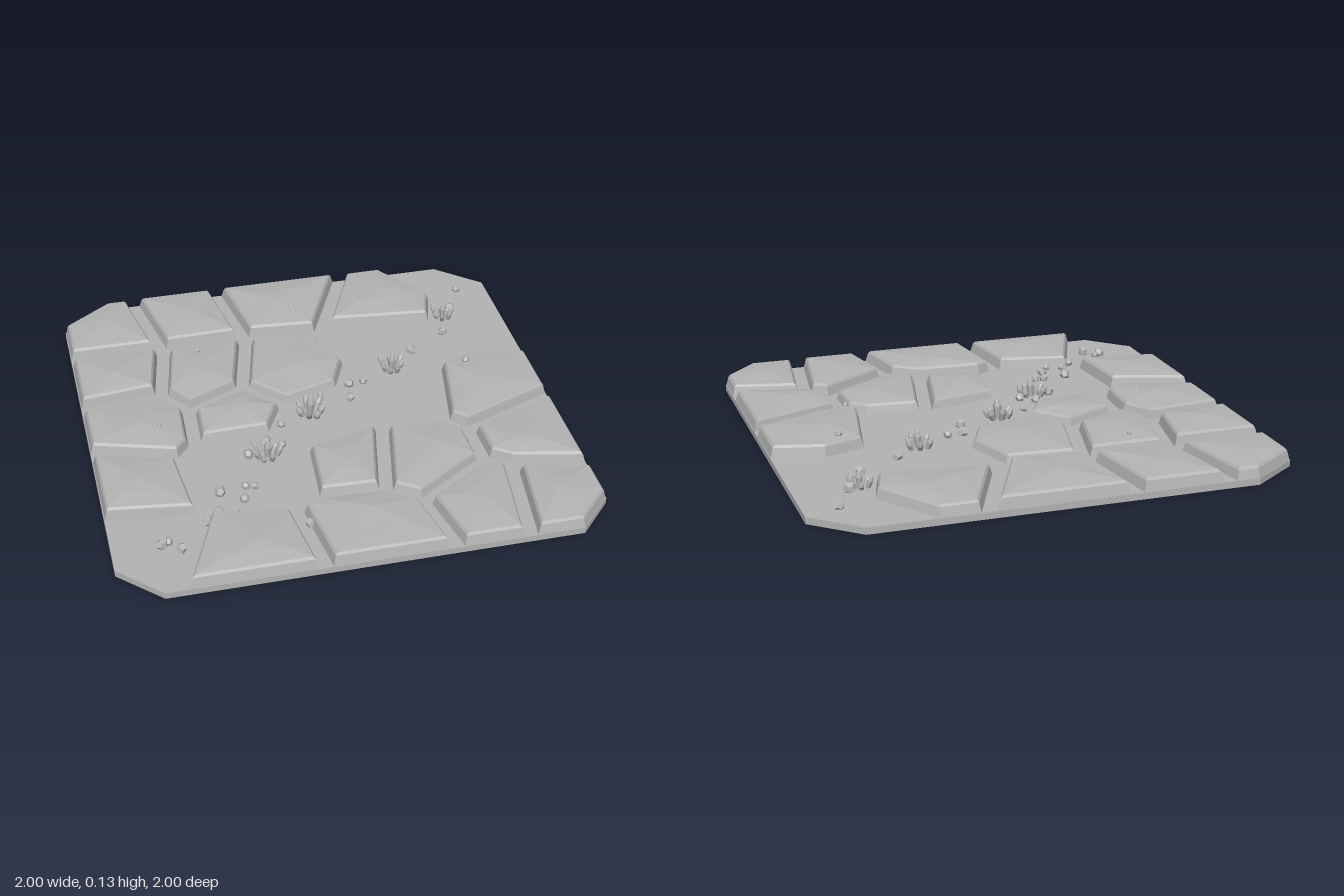
import * as THREE from 'three';

const stoneGrey = new THREE.MeshStandardMaterial({ color: 0xb4b4b4, side: THREE.DoubleSide });
stoneGrey.name = 'stoneGrey';
stoneGrey.flatShading = true;

const GROUND = 0.028;
const HALF_JOINT = 0.025;

// Ground outline as [x, z]
const OUTLINE = [[-1, -0.85], [-0.79, -1], [0.81, -1], [1, -0.83], [1, 0.845], [0.855, 1], [-0.83, 1], [-1, 0.83]];

// Cell centres of the paving stones, and of the empty cells that form the channel
const STONES = [
  [-0.82, -0.8], [-0.448, -0.868], [-0.061, -0.929], [0.548, -0.659],
  [-0.82, -0.386], [-0.438, -0.315], [-0.122, -0.24], [-0.785, -0.08], [-0.32, -0.055],
  [-0.93, 0.39], [-0.435, 0.93], [0.012, 0.875], [0.575, 0.763], [0.745, 0.786],
  [0.04, 0.34], [0.346, 0.408], [0.834, 0.398], [0.697, 0.045],
];
const CHANNEL = [
  [-0.31, 0.31], [-0.978, 0.732], [0.385, -0.015], [-0.02, 0.1],
  [0.525, -0.45], [0.85, -0.57], [0.88, -0.88],
];

// Crystal clusters: x, z, spread, height
const CLUSTERS = [
  [-0.04, 0.01, 0.045, 0.105], [-0.28, 0.26, 0.042, 0.09],
  [0.39, -0.235, 0.04, 0.09], [0.73, -0.59, 0.034, 0.078],
];

// Loose pebbles along the channel and in the joints: x, z
const PEBBLES = [
  [0.86, -0.79], [0.78, -0.63], [0.69, -0.45], [0.51, -0.34], [0.24, -0.16], [0.17, -0.15],
  [0.15, -0.05], [0.03, -0.09], [-0.18, 0.07], [-0.27, 0.17], [-0.21, 0.21], [-0.36, 0.25],
  [-0.41, 0.45], [-0.37, 0.455], [-0.43, 0.53], [-0.52, 0.465], [-0.55, 0.58], [-0.48, 0.6],
  [-0.6, 0.635], [-0.77, 0.72], [-0.8, 0.735], [-0.73, 0.775], [-0.2, 0.735], [0.55, 0.355],
];

// Chips resting on stones: x, y, z, radius
const CHIPS = [
  [0.04, 0.09, -0.745, 0.012], [-0.445, 0.084, -0.49, 0.01],
  [-0.695, 0.087, 0.025, 0.01], [0.705, 0.09, -0.14, 0.017],
];

// Small seeded generator for uneven heights and tilts
function seeded(seed) {
  return () => {
    seed = (seed * 16807) % 2147483647;
    return seed / 2147483647;
  };
}

// Keep the part of a polygon nearer to site a than to b, less half a joint
function clip(poly, a, b) {
  const l = Math.hypot(b[0] - a[0], b[1] - a[1]);
  const nx = (b[0] - a[0]) / l, nz = (b[1] - a[1]) / l;
  const side = (p) => (p[0] - a[0]) * nx + (p[1] - a[1]) * nz - l / 2 + HALF_JOINT;
  const out = [];
  poly.forEach((p, i) => {
    const q = poly[(i + 1) % poly.length];
    const s = side(p), t = side(q);
    if (s <= 0) out.push(p);
    if (s * t < 0) out.push([p[0] + ((q[0] - p[0]) * s) / (s - t), p[1] + ((q[1] - p[1]) * s) / (s - t)]);
  });
  return out;
}

// Cell of one stone within the outline, without very short sides
function cell(site) {
  const poly = [...STONES, ...CHANNEL]
    .filter((other) => other !== site)
    .reduce((shape, other) => clip(shape, site, other), OUTLINE);
  return poly.filter((p, i) => {
    const q = poly[(i + 1) % poly.length];
    return Math.hypot(q[0] - p[0], q[1] - p[1]) > 0.03;
  });
}

// Move a polygon's sides inward by d
function inset(poly, d) {
  const n = poly.length;
  const normal = (a, b) => {
    const l = Math.hypot(b[0] - a[0], b[1] - a[1]);
    return [-(b[1] - a[1]) / l, (b[0] - a[0]) / l];
  };
  return poly.map((p, i) => {
    const u = normal(poly[(i + n - 1) % n], p);
    const v = normal(p, poly[(i + 1) % n]);
    const k = d / (1 + u[0] * v[0] + u[1] * v[1]);
    return [p[0] + (u[0] + v[0]) * k, p[1] + (u[1] + v[1]) * k];
  });
}

// Skin rings of [x, y, z] from bottom to top and close the top with a fan
function skin(rings, apex) {
  const pos = [];
  const tri = (...pts) => pts.forEach((p) => pos.push(...p));
  rings.forEach((a, r) => {
    const b = rings[r + 1];
    a.forEach((p, i) => {
      const j = (i + 1) % a.length;
      if (b) {
        tri(a[j], p, b[i]);
        tri(a[j], b[i], b[j]);
      } else tri(apex, a[j], p);
    });
  });
  const g = new THREE.BufferGeometry();
  g.setAttribute('position', new THREE.Float32BufferAttribute(pos, 3));
  g.computeVertexNormals();
  return g;
}

const lift = (poly, y) => poly.map(([x, z]) => [x, y, z]);

// Paving stone: sloping wall, narrow bevel and a faceted, slightly domed top
function stoneGeometry(site, rand) {
  const poly = cell(site);
  const h = 0.062 + 0.018 * Math.max(Math.abs(site[0]), Math.abs(site[1])) + rand() * 0.005;
  const top = inset(poly, 0.021);
  const centre = (k) => top.reduce((s, p) => s + p[k], 0) / top.length + (rand() - 0.5) * 0.06;
  const cx = centre(0), cz = centre(1);
  const middle = top.map(([x, z]) => [cx + (x - cx) * 0.5, h + 0.006 + rand() * 0.005, cz + (z - cz) * 0.5]);
  return skin(
    [lift(poly, 0), lift(inset(poly, 0.003), GROUND), lift(inset(poly, 0.013), h - 0.01), lift(top, h), middle],
    [cx, h + 0.014, cz]
  );
}

export function createModel() {
  const model = new THREE.Group();
  model.name = 'pavedGround';
  const rand = seeded(4217);
  const add = (parent, geometry, name) => {
    const mesh = new THREE.Mesh(geometry, stoneGrey);
    mesh.name = name;
    parent.add(mesh);
    return mesh;
  };

  // Ground slab, open underneath
  add(model, skin([lift(OUTLINE, 0), lift(OUTLINE, GROUND)], [0, GROUND, 0]), 'groundSlab');

  // Paving stones
  const stones = new THREE.Group();
  stones.name = 'pavingStones';
  model.add(stones);
  STONES.forEach((site) => add(stones, stoneGeometry(site, rand), 'pavingStone'));

  // Crystal of unit height with a pointed tip
  const profile = [[0.14, 0], [0.2, 0.6], [0.11, 0.84], [0, 1]].map(([r, y]) => new THREE.Vector2(r, y));
  const crystal = new THREE.LatheGeometry(profile, 6);

  // Crystal clusters: an upright centre and a leaning ring
  CLUSTERS.forEach(([x, z, spread, height]) => {
    const cluster = new THREE.Group();
    cluster.name = 'crystalCluster';
    cluster.position.set(x, GROUND - 0.006, z);
    model.add(cluster);
    for (let i = 0; i < 8; i++) {
      const outer = i > 0;
      const angle = i * 0.9 + rand() * 0.4;
      const reach = outer ? spread * (0.6 + rand() * 0.4) : 0;
      const h = height * (outer ? 0.5 + rand() * 0.35 : 1);
      const wide = height * (outer ? 0.75 : 0.95);
      const lean = outer ? 0.3 + rand() * 0.25 : 0.05;
      const mesh = add(cluster, crystal, 'crystal');
      mesh.scale.set(wide, h, wide);
      mesh.position.set(Math.cos(angle) * reach, 0, Math.sin(angle) * reach);
      mesh.rotation.set(Math.sin(angle) * lean, 0, -Math.cos(angle) * lean);
    }
  });

  // Pebbles and chips
  const rock = new THREE.DodecahedronGeometry(1, 0);
  const addRock = (x, y, z, r, name) => {
    const mesh = add(model, rock, name);
    mesh.position.set(x, y, z);
    mesh.scale.set(r, r * (0.8 + rand() * 0.4), r * (0.8 + rand() * 0.4));
    mesh.rotation.set(rand() * 3, rand() * 6, rand() * 3);
  };
  PEBBLES.forEach(([x, z]) => {
    const r = 0.018 + rand() * 0.008;
    addRock(x, GROUND + r * 0.55, z, r, 'pebble');
  });
  CHIPS.forEach(([x, y, z, r]) => addRock(x, y, z, r, 'stoneChip'));

  return model;
}
